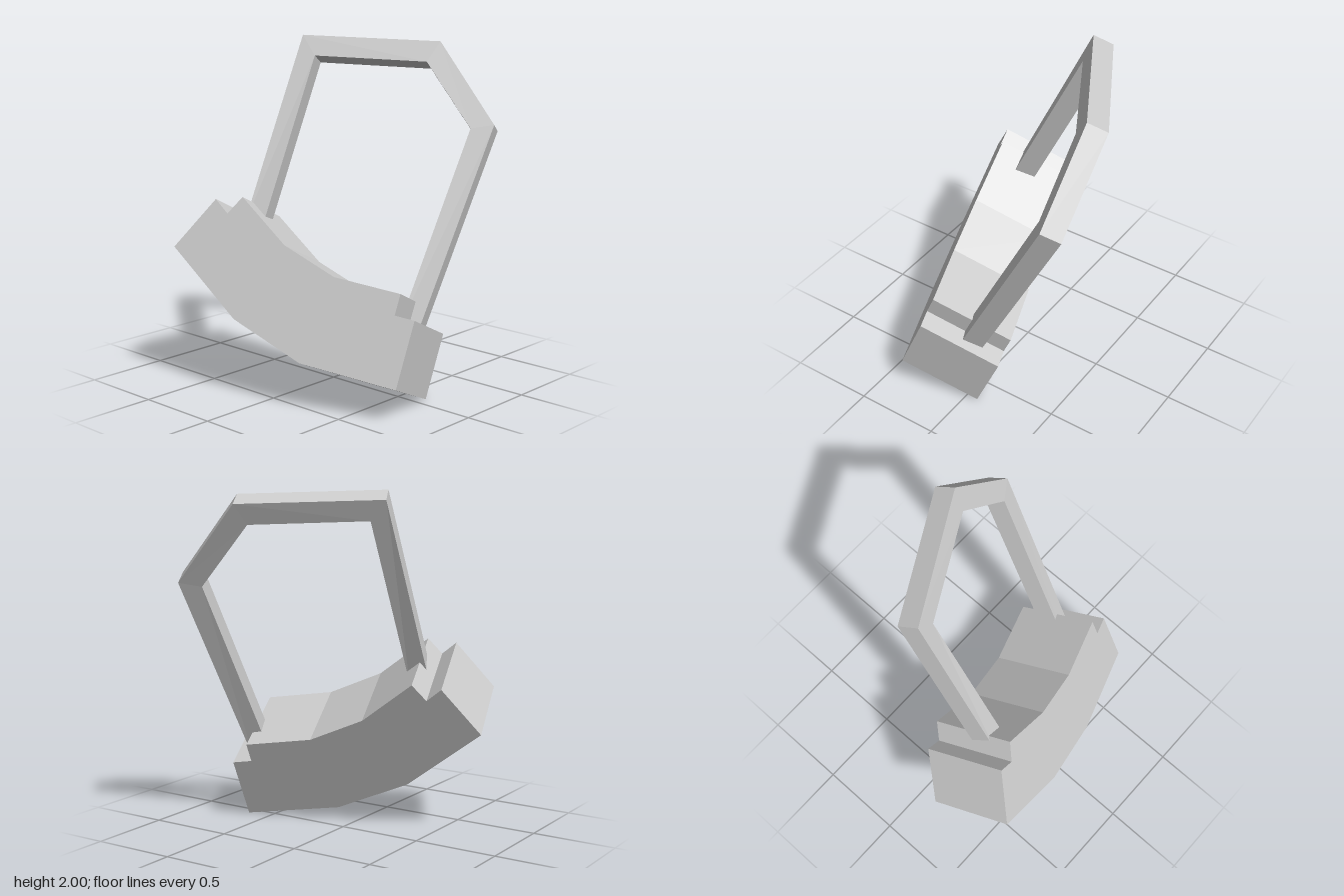
import * as THREE from 'three';

const V = (x, y, z) => new THREE.Vector3(x, y, z);
const material = () => new THREE.MeshStandardMaterial({ color: 0xcccccc, flatShading: true });

// Curved block: a notched arc profile, extruded and leaned into place
function makeBody() {
  const profile = [
    [0, 0], [0, 0.383], [-0.116, 0.384], [-0.116, 0.504], [-0.514, 0.505], [-0.852, 0.61],
    [-1.186, 0.822], [-1.25, 0.709], [-1.347, 0.775], [-1.519, 0.45], [-1.027, 0.137], [-0.574, 0],
  ].map(([x, y]) => new THREE.Vector2(x, y));
  const geometry = new THREE.ExtrudeGeometry(new THREE.Shape(profile), { depth: 1, bevelEnabled: false });
  const across = V(0.938, -0.131, -0.318);
  const up = V(-0.01, 0.914, -0.405);
  const depth = V(0.143, 0.198, 0.434);
  const placement = new THREE.Matrix4().makeBasis(across, up, depth);
  placement.setPosition(V(0.788, 0.202, 0.363).sub(depth));
  geometry.applyMatrix4(placement);
  const mesh = new THREE.Mesh(geometry, material());
  mesh.name = 'curvedBody';
  return mesh;
}

// Handle: square bar swept through mitred corners, from left foot to right foot
function makeHandle() {
  const outer = [
    V(-0.385, 0.92, 0.355), V(-0.4, 2, -0.163), V(0.318, 1.975, -0.568),
    V(0.723, 1.525, -0.555), V(0.656, 0.38, 0.046),
  ];
  const inner = [
    V(-0.277, 0.92, 0.31), V(-0.3, 1.883, -0.16), V(0.285, 1.86, -0.485),
    V(0.613, 1.502, -0.48), V(0.555, 0.4, 0.09),
  ];
  const back = V(-0.048, -0.05, -0.101);
  const positions = [];
  const rings = outer.map((o, i) => [o, inner[i], inner[i].clone().add(back), o.clone().add(back)]);
  const quad = (a, b, c, d) => [a, b, c, a, c, d].forEach((p) => positions.push(p.x, p.y, p.z));

  for (let i = 0; i < rings.length - 1; i++) {
    for (let j = 0; j < 4; j++) {
      const k = (j + 1) % 4;
      quad(rings[i][j], rings[i][k], rings[i + 1][k], rings[i + 1][j]);
    }
  }
  // Closed feet
  const first = rings[0];
  quad(first[0], first[3], first[2], first[1]);
  quad(...rings[rings.length - 1]);

  const geometry = new THREE.BufferGeometry();
  geometry.setAttribute('position', new THREE.Float32BufferAttribute(positions, 3));
  geometry.computeVertexNormals();
  const mesh = new THREE.Mesh(geometry, material());
  mesh.name = 'handle';
  return mesh;
}

export function createModel() {
  const model = new THREE.Group();
  model.name = 'handledBlock';
  model.add(makeBody(), makeHandle());
  return model;
}
